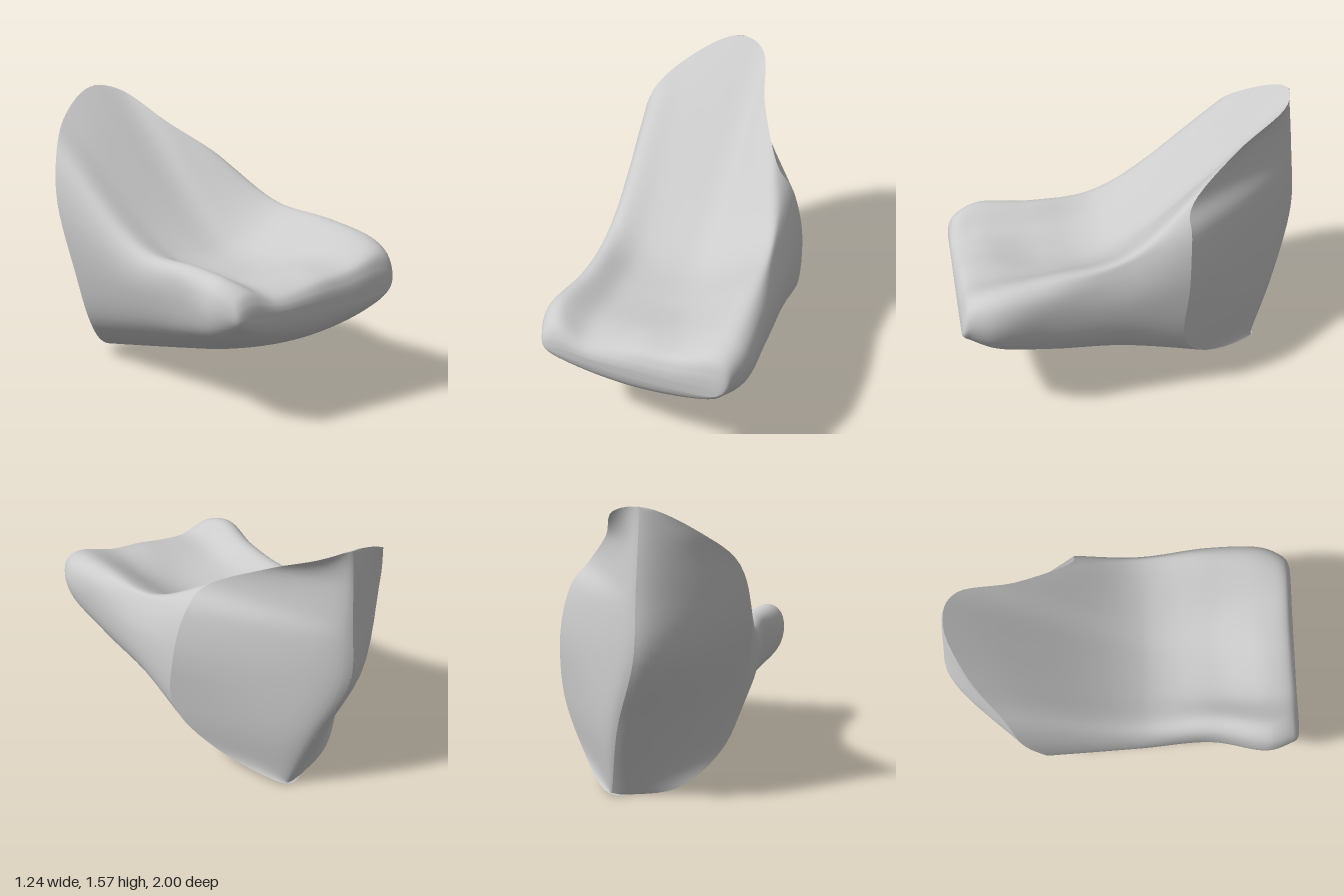
import * as THREE from 'three';

const AROUND = 96;
const V = (x, y, z) => new THREE.Vector3(x, y, z);

// Rim where the body meets the cut back; starts at the bottom, runs up the left (+x) side
const RIM = [
  [-.03, 0, -.71], [.13, .02, -.74], [.36, .15, -.41], [.52, .4, -.23],
  [.53, .75, -.25], [.46, 1.03, -.27], [.34, 1.18, -.3], [.16, 1.365, -.58],
  [.04, 1.53, -.87], [-.16, 1.56, -.93], [-.4, 1.43, -.81], [-.57, 1.25, -.64],
  [-.62, .95, -.56], [-.57, .55, -.46], [-.47, .24, -.47], [-.27, .04, -.62],
].map((p) => V(...p));

// Upright cross-sections (x, y) of the seat part, from back to front
const section = (z, pts) => pts.map(([x, y]) => V(x, y, z));
const SECTIONS = [
  section(.1, [[-.05, .165], [.2, .19], [.4, .3], [.54, .49], [.56, .72], [.5, .9], [.43, .94], [.2, .81],
    [.05, .75], [-.12, .74], [-.3, .75], [-.47, .79], [-.54, .72], [-.54, .56], [-.46, .34], [-.28, .2]]),
  section(.5, [[-.05, .26], [.2, .28], [.45, .38], [.57, .53], [.6, .72], [.57, .86], [.47, .9], [.25, .77],
    [.08, .71], [-.1, .69], [-.28, .7], [-.43, .77], [-.51, .72], [-.51, .57], [-.45, .4], [-.28, .29]]),
  section(.82, [[-.03, .365], [.22, .385], [.46, .45], [.58, .56], [.62, .7], [.58, .82], [.47, .85], [.25, .76],
    [.05, .735], [-.12, .71], [-.3, .7], [-.47, .77], [-.56, .71], [-.57, .57], [-.5, .46], [-.29, .39]]),
  section(.95, [[-.03, .44], [.22, .46], [.43, .51], [.53, .58], [.57, .68], [.54, .77], [.44, .79], [.24, .73],
    [.05, .71], [-.12, .68], [-.28, .67], [-.43, .72], [-.52, .68], [-.53, .58], [-.46, .51], [-.27, .46]]),
];

// Rounded nose: shrink the last section towards a line
const shrink = (ring, kx, ky, z) => ring.map((p) => V(p.x * kx, .58 + (p.y - .58) * ky, z));
const last = SECTIONS[SECTIONS.length - 1];
const RINGS = [RIM, ...SECTIONS,
  shrink(last, .96, .65, .985), shrink(last, .9, .3, .998), shrink(last, .82, 0, 1)];

// Smooth closed loop through a ring's points
function resample(ring) {
  const curve = new THREE.CatmullRomCurve3(ring, true, 'catmullrom', .5);
  return Array.from({ length: AROUND }, (_, i) => curve.getPoint(i / AROUND));
}

// Skin a list of closed loops
function skin(rows, flip) {
  const pos = [], index = [];
  rows.forEach((row) => row.forEach((p) => pos.push(p.x, p.y, p.z)));
  for (let j = 0; j < rows.length - 1; j++) {
    for (let i = 0; i < AROUND; i++) {
      const n = (i + 1) % AROUND;
      const a = j * AROUND + i, b = j * AROUND + n, c = a + AROUND, d = b + AROUND;
      if (flip) index.push(a, c, b, b, c, d);
      else index.push(a, b, c, b, d, c);
    }
  }
  const geo = new THREE.BufferGeometry();
  geo.setAttribute('position', new THREE.Float32BufferAttribute(pos, 3));
  geo.setIndex(index);
  geo.computeVertexNormals();
  return geo;
}

// Ridge of the back, leaning sideways towards its foot
const RIDGE = new THREE.CatmullRomCurve3([
  V(.09, 0, -.74), V(.02, .4, -.88), V(-.1, .8, -1), V(-.11, 1.15, -.98), V(-.12, 1.56, -.94),
]).getPoints(100);

// Point of the ridge at a given height
function ridgeAt(y) {
  if (y <= RIDGE[0].y) return RIDGE[0];
  if (y >= RIDGE[100].y) return RIDGE[100];
  const k = RIDGE.findIndex((p) => p.y >= y);
  const a = RIDGE[k - 1], b = RIDGE[k];
  return a.clone().lerp(b, (y - a.y) / (b.y - a.y));
}

export function createModel() {
  const group = new THREE.Group();
  group.name = 'wedgeSeat';
  const material = new THREE.MeshStandardMaterial({ color: 0xcccccc, side: THREE.DoubleSide });
  const add = (name, geo) => {
    const mesh = new THREE.Mesh(geo, material);
    mesh.name = name;
    group.add(mesh);
  };

  // Body: seat, backrest front, sides and underside, lofted from rim to nose
  const loops = RINGS.map(resample);
  const steps = 56;
  const rows = Array.from({ length: steps + 1 }, () => []);
  for (let i = 0; i < AROUND; i++) {
    const rail = new THREE.CatmullRomCurve3(loops.map((l) => l[i]), false, 'centripetal');
    for (let j = 0; j <= steps; j++) rows[j].push(rail.getPoint(j / steps));
  }
  add('seatBody', skin(rows, false));

  // Back: a flat cut on the left and a softer one on the right, meeting in a rounded ridge
  const capRows = [];
  for (let j = 0; j <= 24; j++) {
    const s = j / 24;
    capRows.push(loops[0].map((p) => {
      const r = ridgeAt(p.y);
      const f = p.x > r.x ? 1.12 * s - .12 * s ** 8 : 1.3 * s - .3 * s ** 4;
      return V(THREE.MathUtils.lerp(p.x, r.x, s), p.y, THREE.MathUtils.lerp(p.z, r.z, f));
    }));
  }
  add('backCut', skin(capRows, true));

  return group;
}
